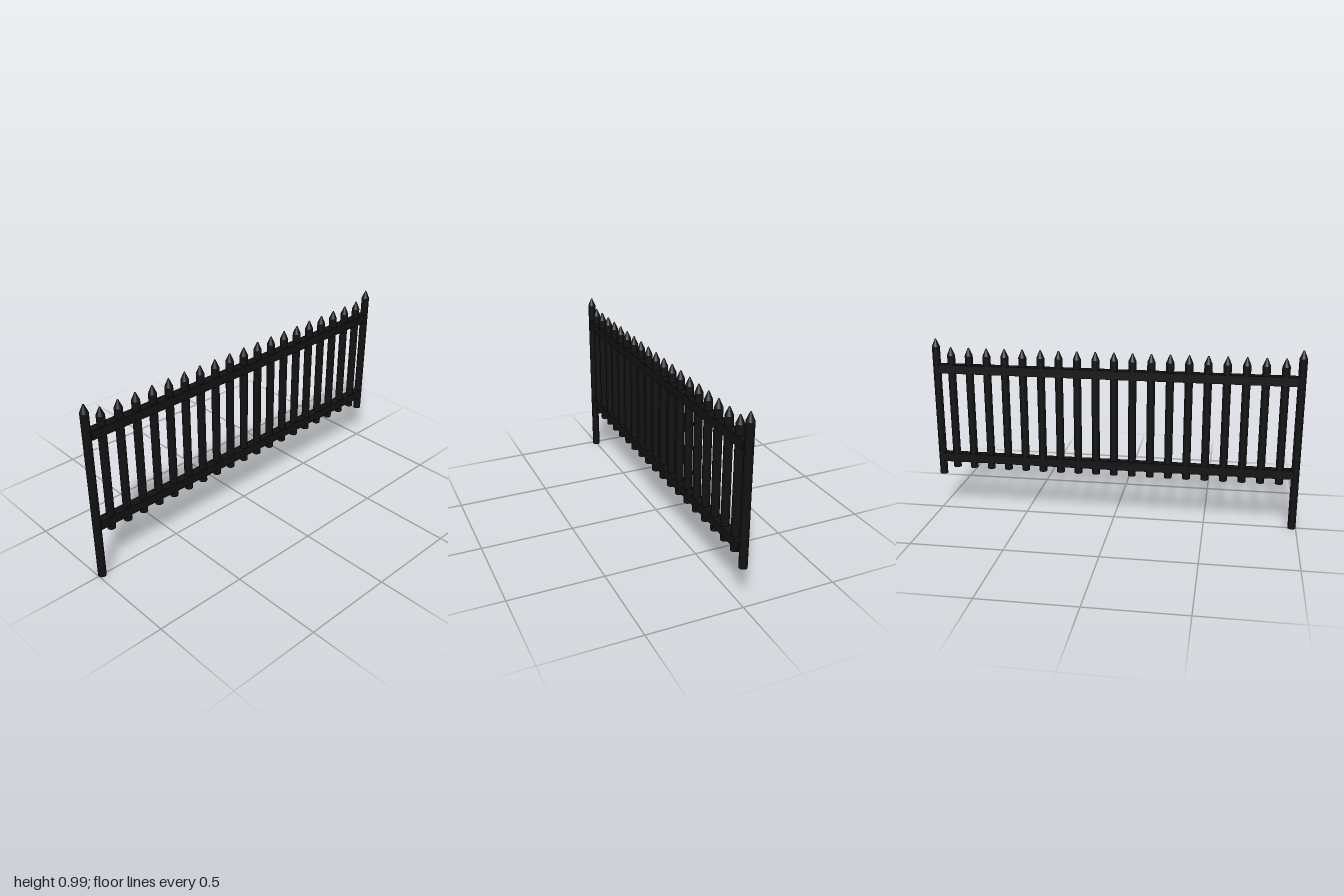
import * as THREE from 'three';

const R = 0.0215;      // radius of posts and pickets
const POST_Z = 0.9785; // post centre
const material = new THREE.MeshStandardMaterial({ color: 0x111111 });

// Round upright with a blunt conical point
function upright(name, bottom, top, z) {
  const group = new THREE.Group();
  group.name = name;
  const tip = 0.043;
  const height = top - tip - bottom;
  const shaft = new THREE.Mesh(new THREE.CylinderGeometry(R, R, height, 24), material);
  shaft.name = name + 'Shaft';
  shaft.position.y = bottom + height / 2;
  const point = new THREE.Mesh(new THREE.CylinderGeometry(0.003, R, tip, 24), material);
  point.name = name + 'Point';
  point.position.y = top - tip / 2;
  group.add(shaft, point);
  group.position.z = z;
  return group;
}

export function createModel() {
  const fence = new THREE.Group();
  fence.name = 'fencePanel';

  // End posts: the front one reaches the ground
  fence.add(upright('frontPost', 0, 0.985, POST_Z));
  fence.add(upright('backPost', 0.21, 0.985, -POST_Z));

  // Pickets
  const count = 19;
  for (let i = 0; i < count; i++) {
    fence.add(upright('picket', 0.255, 0.94, (i - (count - 1) / 2) * 0.0995));
  }

  // Horizontal rails running between the posts
  for (const [name, y] of [['lowerRail', 0.313], ['upperRail', 0.822]]) {
    const rail = new THREE.Mesh(new THREE.BoxGeometry(0.047, 0.048, 1.93), material);
    rail.name = name;
    rail.position.y = y;
    fence.add(rail);
  }
  return fence;
}
